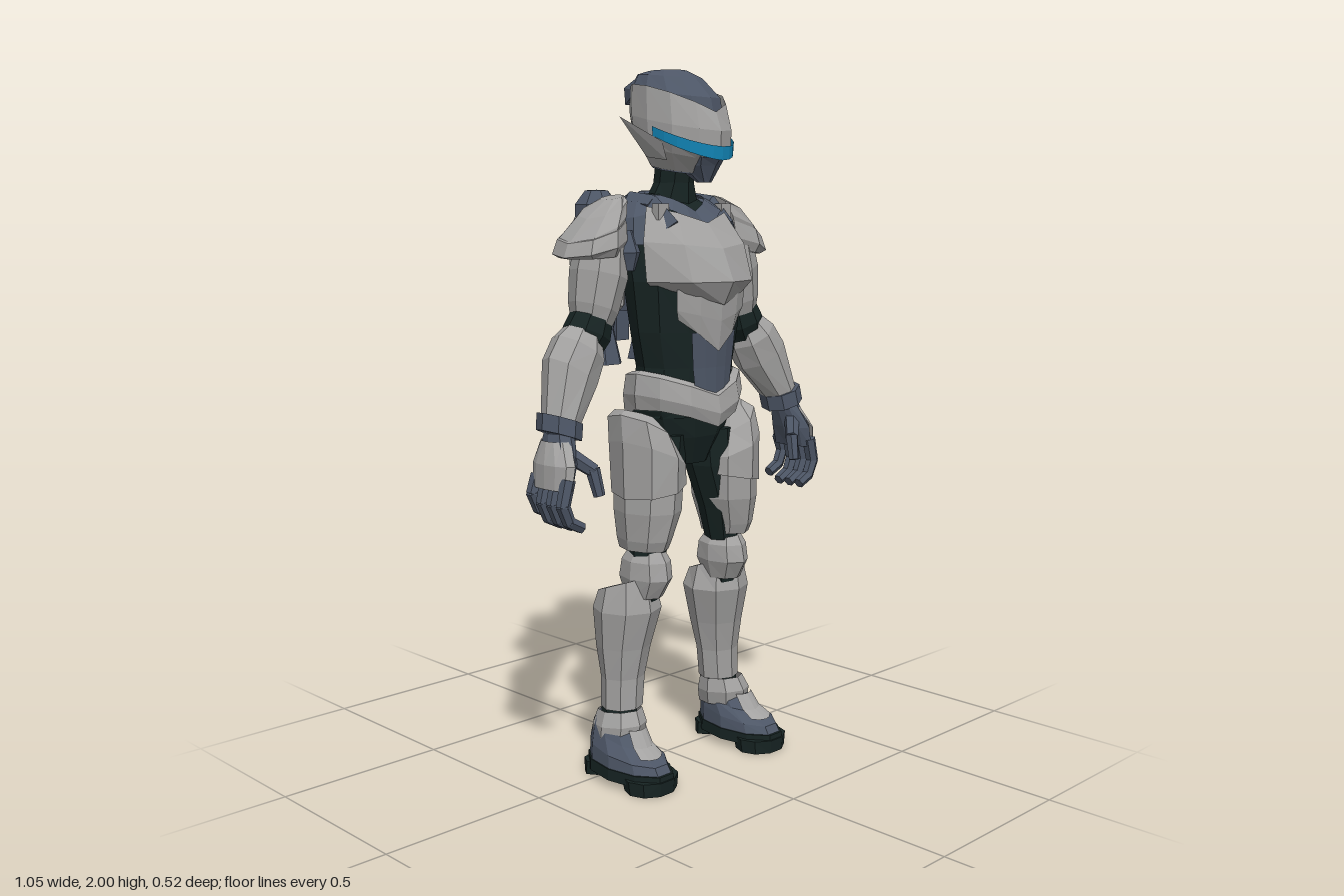
import * as THREE from 'three';
import { ConvexGeometry } from 'three/addons/geometries/ConvexGeometry.js';

const paint = (name, color) => {
  const m = new THREE.MeshStandardMaterial({ color, side: THREE.DoubleSide });
  m.name = name;
  return m;
};

// One cross-section: [y, cx, cz, rx, rz, slopeX, slopeZ, vee]
function section([y, cx, cz, rx, rz, sx = 0, sz = 0, vee = 0], n, a0, a1) {
  const pts = [];
  for (let i = 0; i <= n; i++) {
    const a = THREE.MathUtils.degToRad(a0 + ((a1 - a0) * i) / n);
    const dx = rx * Math.cos(a), dz = rz * Math.sin(a);
    pts.push([cx + dx, y + sx * dx + sz * dz + vee * Math.abs(dx), cz + dz]);
  }
  return pts;
}

// Faceted skin through cross-sections listed from top to bottom
function skin(rows, n, a0, a1, capped) {
  const rings = rows.map((r) => section(r, n, a0, a1)), out = [];
  const tri = (...p) => p.forEach((q) => out.push(...q));
  for (let r = 0; r + 1 < rings.length; r++) {
    for (let i = 0; i < n; i++) {
      const a = rings[r][i], b = rings[r][i + 1], c = rings[r + 1][i], d = rings[r + 1][i + 1];
      tri(a, b, c);
      tri(b, d, c);
    }
  }
  if (capped) {
    const top = rings[0], low = rings[rings.length - 1];
    const mid = (r) => [r[1], r[0], r[2]];
    for (let i = 0; i < n; i++) {
      tri(mid(rows[0]), top[i + 1], top[i]);
      tri(mid(rows[rows.length - 1]), low[i], low[i + 1]);
    }
  }
  const g = new THREE.BufferGeometry();
  g.setAttribute('position', new THREE.Float32BufferAttribute(out, 3));
  g.computeVertexNormals();
  return g;
}

function flat(g) {
  const f = g.index ? g.toNonIndexed() : g;
  f.computeVertexNormals();
  return f;
}

export function createModel() {
  const armor = paint('light grey armour', 0xa3a2a1);
  const slate = paint('slate', 0x4d5666);
  const suit = paint('dark suit', 0x172423);
  const glow = paint('blue glow', 0x1286b8);

  const model = new THREE.Group();
  model.name = 'armouredFigure';
  const side = new THREE.Group();
  side.name = 'leftSide';

  const add = (parent, name, geo, mat) => {
    const m = new THREE.Mesh(geo, mat);
    m.name = name;
    parent.add(m);
    return m;
  };
  const loft = (p, name, mat, rows, n = 8) => add(p, name, skin(rows, n, 0, 360, true), mat);
  const plate = (p, name, mat, rows, a0 = 0, a1 = 360, n = 8) => add(p, name, skin(rows, n, a0, a1, false), mat);
  const hull = (p, name, mat, pts) =>
    add(p, name, flat(new ConvexGeometry(pts.map((q) => new THREE.Vector3(...q)))), mat);
  const box = (p, name, mat, w, h, d, x, y, z) =>
    add(p, name, new THREE.BoxGeometry(w, h, d), mat).position.set(x, y, z);
  // Chain of tapered bars through points
  const chain = (p, name, mat, pts, r0, r1, n = 6) => {
    const v = pts.map((q) => new THREE.Vector3(...q));
    for (let i = 0; i + 1 < v.length; i++) {
      const d = v[i + 1].clone().sub(v[i]), k = (j) => r0 + ((r1 - r0) * j) / (v.length - 1);
      const m = add(p, name, flat(new THREE.CylinderGeometry(k(i + 1), k(i), d.length() + r1 * 0.5, n)), mat);
      m.position.copy(v[i]).addScaledVector(d, 0.5);
      m.quaternion.setFromUnitVectors(new THREE.Vector3(0, 1, 0), d.normalize());
    }
  };

  // Torso and neck
  loft(model, 'torso', suit, [[1.66, 0, 0, 0.07, 0.06], [1.62, 0, 0.01, 0.14, 0.085], [1.52, 0, 0.04, 0.19, 0.125],
    [1.42, 0, 0.065, 0.195, 0.14], [1.28, 0, 0.07, 0.18, 0.12], [1.18, 0, 0.07, 0.158, 0.115], [1.04, 0, 0.06, 0.165, 0.115]], 12);
  loft(model, 'neck', suit, [[1.79, 0, 0.04, 0.055, 0.06], [1.69, 0, 0.025, 0.055, 0.06], [1.62, 0, 0.01, 0.085, 0.075]]);
  plate(model, 'collar', slate, [[1.612, 0, 0.02, 0.085, 0.092, 0, 0, 0.55], [1.57, 0, 0.03, 0.135, 0.125, 0, 0, 0.45]], 0, 180, 8);
  plate(model, 'chestPlate', armor, [[1.58, 0, 0.03, 0.158, 0.13, 0, 0, 0.3], [1.51, 0, 0.05, 0.202, 0.17, 0, 0, 0.1],
    [1.42, 0, 0.05, 0.202, 0.21], [1.355, 0, 0.06, 0.18, 0.165, 0, 0, 0.3]], 18, 162, 4);
  plate(model, 'ribPlate', armor, [[1.4, 0, 0.06, 0.195, 0.16], [1.31, 0, 0.06, 0.19, 0.155, 0, 0, 0.25],
    [1.225, 0, 0.065, 0.175, 0.14, 0, 0, 0.75]], 46, 134, 4);
  plate(model, 'abdomenPlate', slate, [[1.28, 0, 0.07, 0.185, 0.13], [1.18, 0, 0.07, 0.165, 0.125],
    [1.07, 0, 0.06, 0.13, 0.135]], 62, 118, 4);

  // Pelvis and belt
  loft(model, 'pelvis', suit, [[1.14, 0, 0.06, 0.16, 0.12], [1.06, 0, 0.05, 0.18, 0.125], [0.98, 0, 0.05, 0.14, 0.11],
    [0.9, 0, 0.05, 0.085, 0.08]], 10);
  plate(model, 'belt', armor, [[1.115, 0, 0.065, 0.165, 0.12, 0, 0, 0.35], [1.1, 0, 0.065, 0.185, 0.14, 0, 0, 0.35],
    [1.05, 0, 0.065, 0.192, 0.15, 0, 0, 0.3], [0.99, 0, 0.06, 0.182, 0.145, 0, 0.15, 0.4]], 0, 360, 12);

  // Helmet
  const rim = [1.785, 0, 0.052, 0.115, 0.135, 0, -0.25], under = [1.728, 0, 0.055, 0.08, 0.095, 0, -0.15];
  loft(model, 'helmetCap', slate, [[2.0, 0, 0, 0.05, 0.06], [1.985, 0, 0.01, 0.085, 0.1, 0, -0.1],
    [1.94, 0, 0.03, 0.113, 0.14, 0, -0.15], [1.86, 0, 0.045, 0.115, 0.145, 0, -0.2]], 12);
  plate(model, 'helmetShell', armor, [[1.91, 0, 0.04, 0.12, 0.15, 0, -0.2, 0.35], [1.86, 0, 0.05, 0.127, 0.16, 0, -0.2],
    [1.815, 0, 0.052, 0.125, 0.155, 0, -0.3], rim], 0, 360, 12);
  plate(model, 'helmetJaw', armor, [rim, under], -30, 210, 8);
  plate(model, 'helmetNape', slate, [rim, under], 210, 330, 4);
  loft(model, 'helmetBase', slate, [[1.74, 0, 0.055, 0.078, 0.09, 0, -0.15], [1.724, 0, 0.055, 0.076, 0.09, 0, -0.15]], 12);
  plate(model, 'visor', glow, [[1.85, 0, 0.05, 0.132, 0.167, 0, -0.38], [1.82, 0, 0.05, 0.13, 0.165, 0, -0.43, 0.04]], 8, 172, 12);
  loft(model, 'chinGuard', slate, [[1.77, 0, 0.12, 0.065, 0.085, 0, -0.2], [1.735, 0, 0.12, 0.055, 0.07],
    [1.69, 0, 0.145, 0.02, 0.02]]);
  hull(model, 'rearCrest', slate, [-1, 1].flatMap((s) => [[s * 0.05, 1.997, -0.045], [s * 0.06, 1.957, -0.115],
    [s * 0.06, 1.91, -0.11], [s * 0.085, 1.945, -0.04]]));
  hull(side, 'helmetFin', armor, [[0.118, 1.8, 0.1], [0.1, 1.75, 0.1], [0.12, 1.81, 0.02], [0.11, 1.76, 0.03], [0.166, 1.87, -0.02]]);

  // Backpack: central column and one tank per side
  box(model, 'packColumn', slate, 0.05, 0.42, 0.04, 0, 1.44, -0.21);
  box(model, 'packMount', slate, 0.045, 0.3, 0.16, 0, 1.47, -0.115);
  box(model, 'packGlow', glow, 0.042, 0.165, 0.008, 0, 1.435, -0.231);
  const tank = (name, mat, profile) => {
    const g = new THREE.LatheGeometry(profile.map(([r, y]) => new THREE.Vector2(r, y)), 8, Math.PI / 8);
    add(side, name, flat(g), mat).position.set(0.107, 0, -0.183);
  };
  tank('tankCap', slate, [[0.066, 1.58], [0.066, 1.63], [0.035, 1.67], [0, 1.672]]);
  tank('tankUpper', armor, [[0, 1.44], [0.076, 1.44], [0.084, 1.46], [0.084, 1.55], [0.067, 1.595], [0, 1.595]]);
  tank('tankBand', suit, [[0.07, 1.41], [0.07, 1.45]]);
  tank('tankLower', armor, [[0, 1.312], [0.06, 1.312], [0.084, 1.34], [0.084, 1.405], [0.074, 1.42], [0, 1.42]]);
  tank('thruster', slate, [[0, 1.2], [0.05, 1.17], [0.074, 1.17], [0.05, 1.27], [0.055, 1.29], [0.05, 1.32]]);
  chain(side, 'shoulderStrap', slate, [[0.11, 1.57, 0.13], [0.115, 1.63, 0.06], [0.115, 1.64, -0.03], [0.105, 1.59, -0.13]], 0.026, 0.026, 4);
  box(side, 'strapClip', armor, 0.04, 0.045, 0.025, 0.125, 1.61, 0.1);

  // Shoulder and arm
  loft(side, 'shoulderYoke', slate, [[1.645, 0.12, -0.02, 0.03, 0.06, -0.3], [1.605, 0.145, -0.012, 0.048, 0.088, -0.3],
    [1.52, 0.165, 0, 0.045, 0.095]]);
  loft(side, 'shoulderJoint', slate, [[1.56, 0.2, 0, 0.05, 0.06], [1.5, 0.2, 0, 0.08, 0.085], [1.45, 0.2, 0.01, 0.05, 0.06]]);
  loft(side, 'shoulderCap', armor, [[1.65, 0.2, -0.015, 0.025, 0.04, -0.3], [1.62, 0.235, -0.015, 0.058, 0.08, -0.5],
    [1.57, 0.27, -0.015, 0.083, 0.102, -0.5], [1.53, 0.285, -0.015, 0.08, 0.1, -0.4]]);
  loft(side, 'shoulderLip', armor, [[1.56, 0.275, -0.015, 0.086, 0.106, -0.4], [1.515, 0.283, -0.015, 0.093, 0.115, -0.3],
    [1.49, 0.28, -0.015, 0.075, 0.1, -0.1]]);
  loft(side, 'upperArm', armor, [[1.55, 0.25, 0, 0.06, 0.075, 0.2], [1.44, 0.265, 0, 0.075, 0.087, 0.25],
    [1.35, 0.285, 0, 0.064, 0.075, 0.35], [1.305, 0.295, 0, 0.05, 0.06, 0.4]]);
  loft(side, 'elbow', suit, [[1.33, 0.29, 0, 0.055, 0.062, 0.3], [1.28, 0.31, 0, 0.062, 0.068, 0.45], [1.24, 0.33, 0, 0.05, 0.055, 0.6]]);
  loft(side, 'forearm', armor, [[1.285, 0.32, 0, 0.045, 0.055, 0.6], [1.24, 0.345, 0.005, 0.066, 0.078, 0.65],
    [1.18, 0.382, 0.012, 0.072, 0.078, 0.65], [1.05, 0.444, 0.042, 0.047, 0.056, 0.4]]);
  loft(side, 'wristCuff', slate, [[1.065, 0.444, 0.042, 0.059, 0.066, 0.35], [1.02, 0.452, 0.047, 0.058, 0.066, 0.35]]);
  loft(side, 'palm', slate, [[1.03, 0.455, 0.052, 0.038, 0.045], [0.95, 0.475, 0.065, 0.036, 0.075], [0.89, 0.485, 0.065, 0.026, 0.075]]);
  plate(side, 'handPlate', armor, [[1.01, 0.457, 0.052, 0.045, 0.053], [0.95, 0.477, 0.065, 0.043, 0.082],
    [0.885, 0.488, 0.065, 0.032, 0.08]], -85, 85, 6);
  for (let i = 0; i < 4; i++) {
    const z = 0.003 + i * 0.041, drop = i === 0 ? 0.02 : 0;
    chain(side, 'finger', slate, [[0.49, 0.91, z], [0.507, 0.845 + drop, z], [0.487, 0.8 + drop, z], [0.447, 0.78 + drop, z]], 0.021, 0.016);
  }
  chain(side, 'thumb', slate, [[0.45, 0.97, 0.09], [0.405, 0.93, 0.13], [0.397, 0.865, 0.145]], 0.024, 0.016);

  // Leg
  loft(side, 'innerThigh', suit, [[0.99, 0.095, 0.06, 0.075, 0.09], [0.88, 0.105, 0.07, 0.072, 0.078],
    [0.75, 0.142, 0.078, 0.064, 0.068], [0.64, 0.158, 0.077, 0.05, 0.055], [0.5, 0.17, 0.06, 0.05, 0.045]]);
  loft(side, 'upperThigh', armor, [[1.05, 0.18, 0.05, 0.035, 0.075, 0.45], [1.01, 0.168, 0.062, 0.072, 0.112, 0.62],
    [0.94, 0.153, 0.075, 0.094, 0.124, 0.45], [0.84, 0.152, 0.08, 0.095, 0.117, -0.2]]);
  loft(side, 'lowerThigh', armor, [[0.87, 0.153, 0.08, 0.088, 0.109], [0.78, 0.157, 0.08, 0.087, 0.106],
    [0.7, 0.167, 0.078, 0.068, 0.09], [0.67, 0.167, 0.075, 0.06, 0.08]]);
  loft(side, 'kneeGuard', armor, [[0.665, 0.158, 0.075, 0.042, 0.06], [0.635, 0.157, 0.074, 0.06, 0.08],
    [0.585, 0.158, 0.073, 0.062, 0.09], [0.53, 0.162, 0.07, 0.048, 0.06]]);
  loft(side, 'shinGuard', armor, [[0.56, 0.185, 0.02, 0.078, 0.082, 0, 0.35], [0.49, 0.183, 0.022, 0.099, 0.098],
    [0.38, 0.192, 0.015, 0.08, 0.078], [0.29, 0.197, 0.017, 0.066, 0.06], [0.2, 0.202, 0.018, 0.062, 0.058]]);
  loft(side, 'ankle', suit, [[0.23, 0.205, 0.015, 0.05, 0.05], [0.15, 0.215, 0.015, 0.05, 0.055]]);

  // Boot
  loft(side, 'boot', slate, [[0.18, 0.218, 0.01, 0.05, 0.06], [0.13, 0.226, 0.04, 0.062, 0.1, 0, -0.25],
    [0.09, 0.23, 0.075, 0.078, 0.142, 0, -0.1], [0.05, 0.23, 0.082, 0.082, 0.152]], 10);
  plate(side, 'ankleCuff', armor, [[0.195, 0.212, 0.02, 0.058, 0.07, 0, 0.1], [0.155, 0.217, 0.025, 0.071, 0.085, 0, 0.1],
    [0.115, 0.221, 0.022, 0.068, 0.082, 0, 0.1]], 0, 360, 8);
  plate(side, 'bootTongue', armor, [[0.165, 0.222, 0.03, 0.06, 0.09, 0, -0.1], [0.138, 0.226, 0.045, 0.066, 0.105, 0, -0.25],
    [0.112, 0.23, 0.066, 0.075, 0.126, 0, -0.17]], 56, 124, 4);
  loft(side, 'sole', suit, [[0.055, 0.23, 0.082, 0.085, 0.157], [0.022, 0.23, 0.082, 0.086, 0.158]], 10);
  loft(side, 'toeTread', suit, [[0.04, 0.23, 0.165, 0.084, 0.075], [0, 0.23, 0.168, 0.08, 0.068]], 10);
  loft(side, 'heelTread', suit, [[0.04, 0.23, -0.03, 0.066, 0.046], [0, 0.23, -0.035, 0.064, 0.04]]);

  // Mirror the paired parts
  const other = side.clone();
  other.name = 'rightSide';
  other.scale.x = -1;
  model.add(side, other);
  return model;
}
